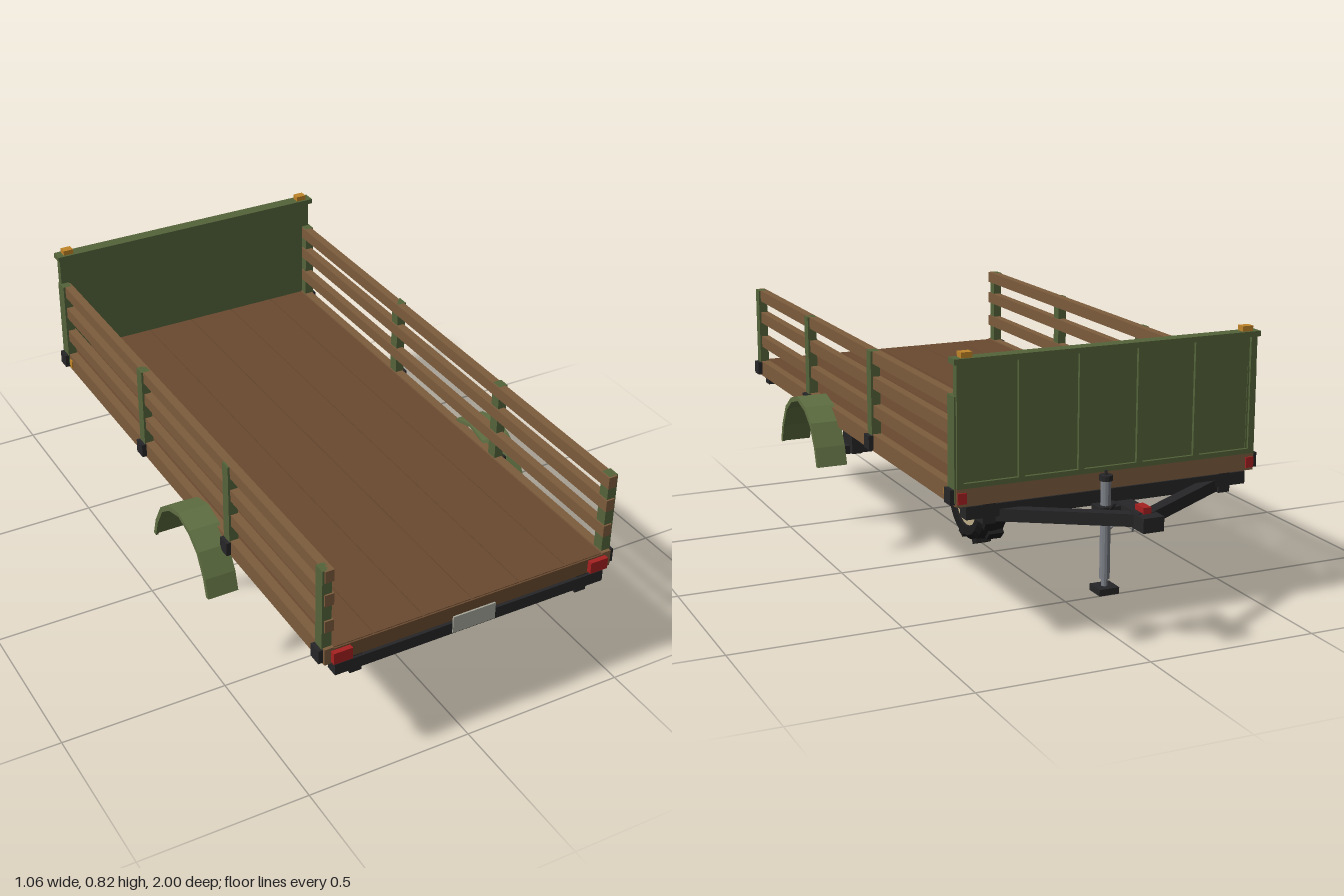
import * as THREE from 'three';

const C = {
  green: 0x55643a, fender: 0x5f6f42, deck: 0x6a4a30, wood: 0x7d5c3d, under: 0x3a281a,
  dark: 0x262628, tyre: 0x1c1b1b, rim: 0xa89a78, steel: 0x7c8087,
  red: 0xa62020, amber: 0xc08428, plate: 0xa8a89c,
};
const mats = {};
const mat = (c) => (mats[c] ??= new THREE.MeshStandardMaterial({ color: C[c], flatShading: true }));

export function createModel() {
  const root = new THREE.Group();

  const add = (name, geo, color, parent = root) => {
    const m = new THREE.Mesh(geo, mat(color));
    m.name = name;
    parent.add(m);
    return m;
  };
  // Box given by its limits on each axis
  const box = (name, color, x0, x1, y0, y1, z0, z1, parent = root) => {
    const m = add(name, new THREE.BoxGeometry(Math.abs(x1 - x0), y1 - y0, z1 - z0), color, parent);
    m.position.set((x0 + x1) / 2, (y0 + y1) / 2, (z0 + z1) / 2);
    return m;
  };
  // The same box on both sides
  const pair = (name, color, x0, x1, ...rest) => {
    for (const s of [1, -1]) box(name, color, s * x0, s * x1, ...rest);
  };
  // Bar between two points, square or round
  const bar = (name, color, a, b, w, h = 0) => {
    const p = new THREE.Vector3(...a), q = new THREE.Vector3(...b), len = p.distanceTo(q);
    const geo = h ? new THREE.BoxGeometry(w, h, len) : new THREE.CylinderGeometry(w, w, len, 8).rotateX(Math.PI / 2);
    const m = add(name, geo, color);
    m.position.copy(p).lerp(q, 0.5);
    m.lookAt(q);
    return m;
  };

  // Deck: six planks over a dark floor, with side and end boards
  box('deckUnderside', 'under', -0.42, 0.42, 0.41, 0.45, -0.75, 0.97);
  const seams = [-0.42, -0.3, -0.15, 0, 0.15, 0.3, 0.42];
  for (let i = 0; i < 6; i++)
    box('deckPlank', 'deck', seams[i] + 0.0015, seams[i + 1] - 0.0015, 0.448, 0.457, -0.75, 0.975);
  pair('sideBoard', 'wood', 0.42, 0.447, 0.41, 0.46, -0.755, 0.98);
  box('rearBoard', 'deck', -0.42, 0.42, 0.41, 0.455, 0.965, 0.98);
  box('frontBoard', 'wood', -0.445, 0.445, 0.41, 0.46, -0.76, -0.745);

  // Chassis
  pair('chassisRail', 'dark', 0.337, 0.372, 0.355, 0.41, -0.76, 0.98);
  box('rearCrossbar', 'dark', -0.42, 0.42, 0.373, 0.408, 0.95, 0.988);
  box('frontCrossbar', 'dark', -0.42, 0.42, 0.373, 0.408, -0.76, -0.72);
  for (const z of [0.92, 0.29, -0.31, -0.72])
    box('crossMember', 'dark', -0.34, 0.34, 0.36, 0.395, z - 0.018, z + 0.018);
  box('axleBeam', 'dark', -0.41, 0.41, 0.289, 0.315, 0.272, 0.308);
  pair('axleHanger', 'dark', 0.339, 0.37, 0.293, 0.36, 0.25, 0.335);

  // Slatted sides
  for (const z of [0.953, 0.432, -0.13, -0.732]) {
    const w = z < -0.5 ? 0.022 : 0.017;
    pair('sidePost', 'green', 0.422, 0.45, 0.42, 0.703, z - w, z + w);
    pair('postBracket', 'dark', 0.435, 0.461, 0.415, 0.456, z - 0.02, z + 0.02);
  }
  for (const y of [0.51, 0.593, 0.667])
    pair('sideSlat', 'wood', 0.418, 0.444, y, y + 0.036, -0.73, 0.975);

  // Tall end panel with ribs and marker lamps
  box('endPanel', 'green', -0.445, 0.445, 0.455, 0.79, -0.752, -0.738);
  box('endPanelCap', 'green', -0.453, 0.453, 0.787, 0.802, -0.765, -0.725);
  for (let i = 0; i < 6; i++) {
    const x = -0.436 + i * 0.1744;
    box('panelRib', 'green', x - 0.009, x + 0.009, 0.46, 0.788, -0.761, -0.75);
  }
  box('panelFoot', 'green', -0.445, 0.445, 0.458, 0.472, -0.761, -0.75);
  pair('topMarker', 'amber', 0.4, 0.432, 0.802, 0.817, -0.758, -0.732);

  // Lights and plate
  pair('tailLight', 'red', 0.372, 0.428, 0.416, 0.451, 0.978, 0.995);
  box('numberPlate', 'plate', -0.066, 0.066, 0.378, 0.43, 0.987, 0.992);
  pair('sideMarker', 'amber', 0.445, 0.451, 0.42, 0.446, -0.702, -0.685);
  pair('frontMarker', 'red', 0.42, 0.444, 0.418, 0.448, -0.765, -0.758);

  // Mudguards: arched strip with a thin lip on the outer edge
  const arc = [[0.472, 0.303], [0.455, 0.36], [0.415, 0.427], [0.36, 0.466], [0.292, 0.485],
    [0.222, 0.466], [0.167, 0.427], [0.128, 0.36], [0.11, 0.303]];
  const arch = (t) => {
    const inner = arc.map(([z, y]) => {
      const dz = 0.291 - z, dy = 0.29 - y, l = Math.hypot(dz, dy);
      return [z + (dz / l) * t, y + (dy / l) * t];
    });
    return new THREE.Shape([...arc, ...inner.reverse()].map(([z, y]) => new THREE.Vector2(-z, y)));
  };
  for (const s of [1, -1]) {
    for (const [name, t, x, w] of [['mudguard', 0.009, 0.437, 0.092], ['mudguardLip', 0.015, 0.523, 0.007]]) {
      const geo = new THREE.ExtrudeGeometry(arch(t), { depth: w, bevelEnabled: false });
      geo.translate(0, 0, -w / 2).rotateY(Math.PI / 2);
      add(name, geo, 'fender').position.x = s * (x + w / 2);
    }
    box('mudguardStay', 'dark', s * 0.37, s * 0.45, 0.435, 0.45, 0.28, 0.302);
  }

  // Centre wheel, turned about the x axis
  const wheel = new THREE.Group();
  wheel.name = 'centreWheel';
  wheel.position.set(0, 0.147, 0.12);
  root.add(wheel);
  const lathe = (pts, n) => new THREE.LatheGeometry(pts.map(([r, x]) => new THREE.Vector2(r, x)), n).rotateZ(-Math.PI / 2);
  add('tyre', lathe([[0.086, -0.035], [0.092, -0.046], [0.118, -0.05], [0.133, -0.036], [0.137, 0],
    [0.133, 0.036], [0.118, 0.05], [0.092, 0.046], [0.086, 0.035], [0.086, -0.035]], 24), 'tyre', wheel);
  add('rim', lathe([[0, -0.024], [0.058, -0.024], [0.07, -0.032], [0.088, -0.04],
    [0.088, 0.04], [0.07, 0.032], [0.058, 0.024], [0, 0.024]], 24), 'rim', wheel);
  add('hub', new THREE.CylinderGeometry(0.033, 0.033, 0.078, 12).rotateZ(Math.PI / 2), 'dark', wheel);
  add('hubCap', new THREE.CylinderGeometry(0.018, 0.018, 0.094, 10).rotateZ(Math.PI / 2), 'dark', wheel);
  for (let i = 0; i < 5; i++) {
    const a = (i / 5) * Math.PI * 2;
    add('wheelNut', new THREE.CylinderGeometry(0.006, 0.006, 0.06, 6).rotateZ(Math.PI / 2), 'dark', wheel)
      .position.set(0, 0.048 * Math.cos(a), 0.048 * Math.sin(a));
  }
  for (let i = 0; i < 16; i++) {
    const a = (i / 16) * Math.PI * 2;
    const lug = add('treadLug', new THREE.BoxGeometry(0.05, 0.016, 0.034), 'tyre', wheel);
    lug.position.set(i % 2 ? 0.012 : -0.012, 0.138 * Math.cos(a), 0.138 * Math.sin(a));
    lug.rotation.x = a;
  }

  // Drawbar and coupling
  for (const s of [1, -1]) {
    bar('drawbarArm', 'dark', [s * 0.335, 0.375, -0.735], [s * 0.008, 0.375, -0.94], 0.032, 0.034);
    bar('safetyChain', 'steel', [s * 0.02, 0.362, -0.87], [s * 0.045, 0.297, -0.805], 0.003);
  }
  box('couplerBody', 'dark', -0.025, 0.025, 0.358, 0.397, -0.96, -0.835);
  box('couplerHead', 'dark', -0.03, 0.03, 0.355, 0.395, -1, -0.93);
  box('couplerLatch', 'red', -0.012, 0.012, 0.395, 0.412, -0.965, -0.92);

  // Prop stand
  const round = (name, color, r, y0, y1) =>
    add(name, new THREE.CylinderGeometry(r, r, y1 - y0, 12), color).position.set(0.057, (y0 + y1) / 2, -0.842);
  round('standTube', 'steel', 0.014, 0.19, 0.465);
  round('standLeg', 'steel', 0.009, 0.165, 0.2);
  round('standCap', 'dark', 0.018, 0.46, 0.475);
  box('standClamp', 'dark', 0.02, 0.085, 0.358, 0.393, -0.868, -0.816);
  box('standFoot', 'dark', 0.028, 0.086, 0.152, 0.17, -0.872, -0.813);
  bar('standCrank', 'dark', [0.057, 0.47, -0.842], [0.057, 0.487, -0.842], 0.004);
  bar('standHandle', 'dark', [0.057, 0.37, -0.85], [0.057, 0.412, -0.895], 0.004);

  return root;
}
